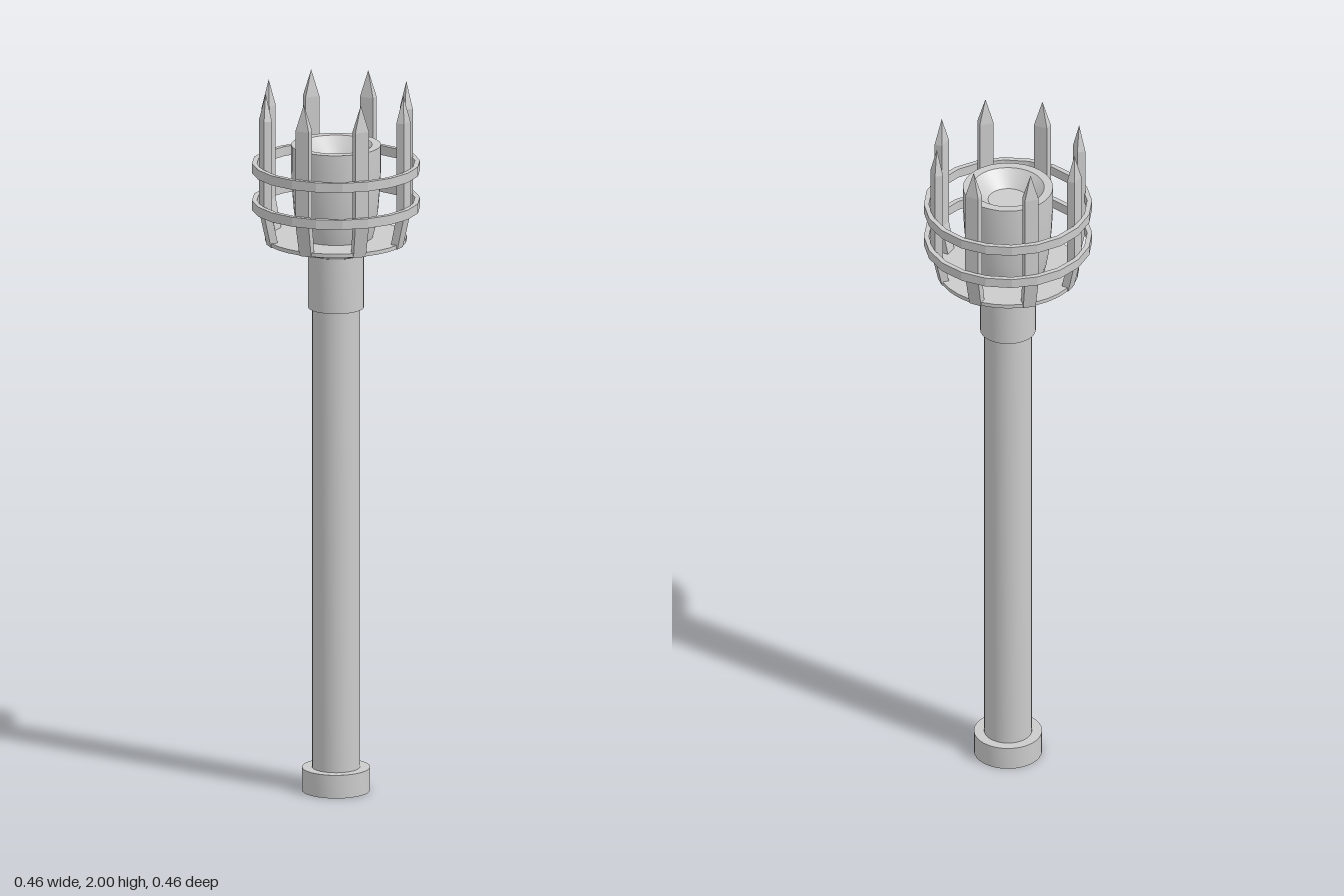
import * as THREE from 'three';
import { toCreasedNormals } from 'three/addons/utils/BufferGeometryUtils.js';

const smooth = new THREE.MeshStandardMaterial({ color: 0xcccccc });
const faceted = new THREE.MeshStandardMaterial({ color: 0xcccccc, flatShading: true });

// Turned part: profile of [radius, y] pairs, running up the outside
function turned(name, profile, segments = 32, material = smooth) {
  const points = profile.map(([r, y]) => new THREE.Vector2(r, y));
  const geometry = toCreasedNormals(new THREE.LatheGeometry(points, segments), 0.5);
  const mesh = new THREE.Mesh(geometry, material);
  mesh.name = name;
  return mesh;
}

// Cage bar: square sections that lean outward, rise straight, then meet in a point
function barGeometry() {
  const sections = [
    // y, inner radius, outer radius, half width
    [1.565, 0.174, 0.196, 0.018],
    [1.66, 0.194, 0.217, 0.02],
    [1.925, 0.194, 0.217, 0.02],
    [2.0, 0.2055, 0.2055, 0],
  ];
  const positions = [];
  const index = [];
  for (const [y, inner, outer, w] of sections) {
    positions.push(-w, y, outer, w, y, outer, w, y, inner, -w, y, inner);
  }
  for (let s = 0; s < sections.length - 1; s++) {
    for (let i = 0; i < 4; i++) {
      const a = s * 4 + i;
      const b = s * 4 + ((i + 1) % 4);
      index.push(a, b, b + 4);
      if (s < sections.length - 2) index.push(a, b + 4, a + 4);
    }
  }
  index.push(0, 2, 1, 0, 3, 2);
  const geometry = new THREE.BufferGeometry();
  geometry.setAttribute('position', new THREE.Float32BufferAttribute(positions, 3));
  geometry.setIndex(index);
  geometry.computeVertexNormals();
  return geometry;
}

export function createModel() {
  const model = new THREE.Group();
  model.name = 'torch';

  // Handle
  model.add(turned('pommel', [[0, 0], [0.094, 0], [0.094, 0.066], [0, 0.066]]));
  model.add(turned('shaft', [[0.066, 0.06], [0.066, 1.38]]));
  model.add(turned('collar', [[0.06, 1.375], [0.077, 1.375], [0.077, 1.535]]));

  // Flared plate under the cage
  model.add(turned('plate', [[0.07, 1.53], [0.077, 1.53], [0.195, 1.566], [0.195, 1.577], [0, 1.577]]));

  // Inner cup with a shallow dished top
  model.add(turned('cup', [
    [0.1, 1.57], [0.108, 1.6], [0.116, 1.65], [0.121, 1.71], [0.124, 1.77],
    [0.124, 1.838], [0.1, 1.838], [0.055, 1.798], [0, 1.798],
  ]));

  // Two hoops around the cage
  for (const [name, y] of [['lowerHoop', 1.656], ['upperHoop', 1.761]]) {
    const top = y + 0.027;
    model.add(turned(name, [[0.232, y], [0.232, top], [0.218, top], [0.218, y], [0.232, y]], 20, faceted));
  }

  // Eight pointed bars
  const bar = barGeometry();
  const bars = new THREE.Group();
  bars.name = 'cageBars';
  for (let i = 0; i < 8; i++) {
    const mesh = new THREE.Mesh(bar, faceted);
    mesh.name = 'cageBar';
    mesh.rotation.y = THREE.MathUtils.degToRad(6 + i * 45);
    bars.add(mesh);
  }
  model.add(bars);

  return model;
}
